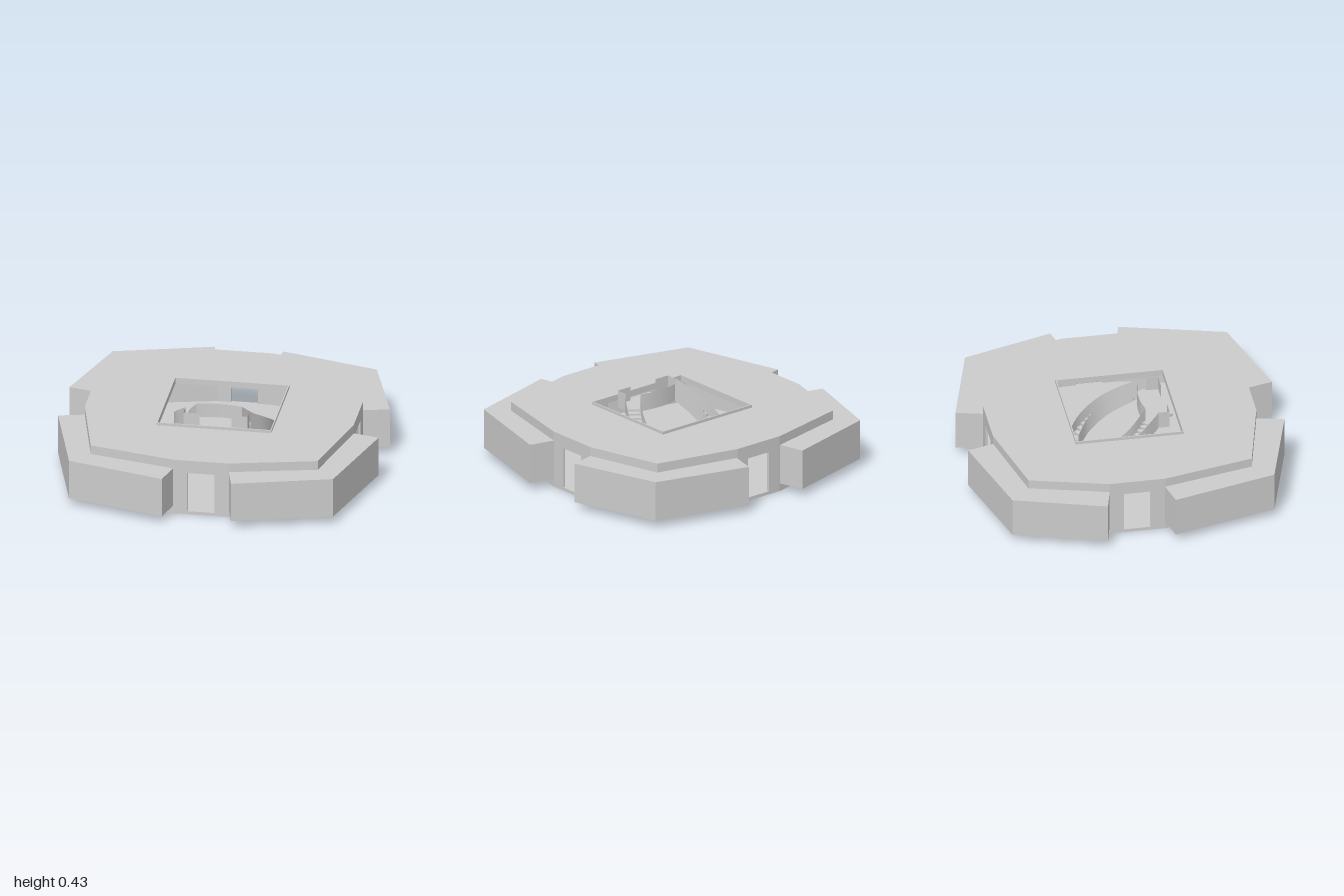
import * as THREE from 'three';

const grey = new THREE.MeshStandardMaterial({ color: 0xcccccc, flatShading: true, side: THREE.DoubleSide });
const CZ = -0.005;

function add(parent, geometry, name) {
  const mesh = new THREE.Mesh(geometry, grey);
  mesh.name = name;
  parent.add(mesh);
  return mesh;
}

// Slab from a plan outline of [x, z] points, with optional rectangular hole
function slab(points, y0, y1, hole) {
  const toV = ([x, z]) => new THREE.Vector2(x, -z);
  const shape = new THREE.Shape(points.map(toV));
  if (hole) shape.holes.push(new THREE.Path(hole.map(toV)));
  const g = new THREE.ExtrudeGeometry(shape, { depth: y1 - y0, bevelEnabled: false });
  return g.rotateX(-Math.PI / 2).translate(0, y0, 0);
}

const rect = (x0, x1, z0, z1) => [[x0, z0], [x1, z0], [x1, z1], [x0, z1]];

// Upright strip following a list of points, between two height offsets
function strip(points, low, high) {
  const pos = [], index = [];
  points.forEach((p, i) => {
    pos.push(p.x, p.y + low, p.z, p.x, p.y + high, p.z);
    if (i) index.push(2 * i - 2, 2 * i, 2 * i - 1, 2 * i, 2 * i + 1, 2 * i - 1);
  });
  const g = new THREE.BufferGeometry();
  g.setAttribute('position', new THREE.Float32BufferAttribute(pos, 3));
  g.setIndex(index);
  g.computeVertexNormals();
  return g;
}

// Straight wall from a to b in plan, with an optional doorway in its middle
function wall(a, b, height, door) {
  const dx = b[0] - a[0], dz = b[1] - a[1], len = Math.hypot(dx, dz);
  const s = new THREE.Shape([[0, 0], [len, 0], [len, height], [0, height]].map(p => new THREE.Vector2(...p)));
  if (door) {
    const m = len / 2, w = 0.083;
    s.holes.push(new THREE.Path([[m - w, 0.02], [m - w, 0.277], [m + w, 0.277], [m + w, 0.02]].map(p => new THREE.Vector2(...p))));
  }
  const g = new THREE.ExtrudeGeometry(s, { depth: 0.015, bevelEnabled: false });
  return g.translate(0, 0, -0.015).rotateY(Math.atan2(-dz, dx)).translate(a[0], 0, a[1]);
}

export function createModel() {
  const model = new THREE.Group();
  model.name = 'pavilion';

  // Eight-sided hall: floor with a shallow square pit, walls, roof with skylight
  const outline = [
    [-0.17, 0.815], [0.17, 0.815], [0.705, 0.69], [0.835, 0.13], [0.835, -0.22],
    [0.705, -0.7], [0.17, -0.825], [-0.17, -0.825], [-0.705, -0.7], [-0.835, -0.22],
    [-0.835, 0.13], [-0.705, 0.69]];
  add(model, slab(outline, 0, 0.02, rect(-0.13, 0.125, -0.125, 0.13)), 'floor');
  add(model, slab(rect(-0.13, 0.125, -0.125, 0.13), 0.008, 0.014), 'floorPit');
  const walls = new THREE.Group();
  walls.name = 'walls';
  model.add(walls);
  const doors = [0, 3, 6, 9];
  outline.forEach((p, i) => {
    add(walls, wall(p, outline[(i + 1) % outline.length], 0.36, doors.includes(i)),
      doors.includes(i) ? 'doorWall' : 'wall');
  });
  add(model, slab(outline, 0.34, 0.36, rect(-0.35, 0.35, -0.335, 0.325)), 'roof');
  add(model, slab(rect(-0.357, 0.357, -0.342, 0.332), 0.34, 0.378,
    rect(-0.35, 0.35, -0.335, 0.325)), 'skylightRim');

  // Four bent wings wrapped round the corners
  for (const sx of [-1, 1]) {
    const front = [[0.215, 0.982], [0.82, 0.81], [0.995, 0.165], [0.83, 0.125], [0.70, 0.685], [0.172, 0.81]];
    const back = [[0.215, -0.988], [0.82, -0.82], [0.995, -0.257], [0.83, -0.217], [0.70, -0.695], [0.172, -0.82]];
    for (const pts of [front, back])
      add(model, slab(pts.map(([x, z]) => [x * sx, z]), 0.05, 0.302), 'cornerWing');
  }

  // Pair of curved open stairs
  const curve = pts => new THREE.CatmullRomCurve3(pts.map(([x, z]) => new THREE.Vector3(x, 0, z)));
  const outer = curve([[0.18, -0.29], [0.265, -0.2], [0.308, -0.07], [0.28, 0.07], [0.205, 0.2]]);
  const inner = curve([[0.12, -0.24], [0.19, -0.17], [0.22, -0.07], [0.2, 0.03], [0.14, 0.13]]);
  const steps = 18;
  const at = (c, t, sx) => {
    const p = c.getPointAt(t);
    return new THREE.Vector3(p.x * sx, 0.02 + 0.32 * t, p.z);
  };
  for (const sx of [-1, 1]) {
    const stair = new THREE.Group();
    stair.name = sx > 0 ? 'leftStair' : 'rightStair';
    model.add(stair);
    for (let i = 0; i < steps; i++) {
      const t0 = i / steps, t1 = (i + 1) / steps, y = 0.02 + 0.32 * t1;
      const pts = [at(outer, t0, sx), at(outer, t1, sx), at(inner, t1, sx), at(inner, t0, sx)];
      add(stair, slab(pts.map(p => [p.x, p.z]), y - 0.012, y), 'tread');
    }
    for (const c of [outer, inner]) {
      const pts = Array.from({ length: 25 }, (_, i) => at(c, i / 24, sx));
      add(stair, strip(pts, -0.02, 0.09), 'stairRail');
    }
  }

  // Balcony joining the two stairs, with curved parapet and side panels
  const arc = [];
  for (let i = 0; i <= 12; i++) {
    const x = -0.14 + 0.28 * i / 12;
    arc.push([x, 0.112 + 0.018 * (x / 0.14) ** 2]);
  }
  add(model, slab([...arc, [0.2, 0.195], [0.2, 0.27], [0.1, 0.27], [0.085, 0.31],
    [-0.085, 0.31], [-0.1, 0.27], [-0.2, 0.27], [-0.2, 0.195]], 0.32, 0.34), 'balconyFloor');
  const up = pts => pts.map(([x, z]) => new THREE.Vector3(x, 0.34, z));
  add(model, strip(up(arc), -0.02, 0.09), 'balconyParapet');
  for (const sx of [-1, 1])
    add(model, strip(up([[0.2 * sx, 0.195], [0.2 * sx, 0.27], [0.1 * sx, 0.27]]), -0.02, 0.09), 'balconySidePanel');

  model.position.z = -CZ * 0.6;
  return model;
}
